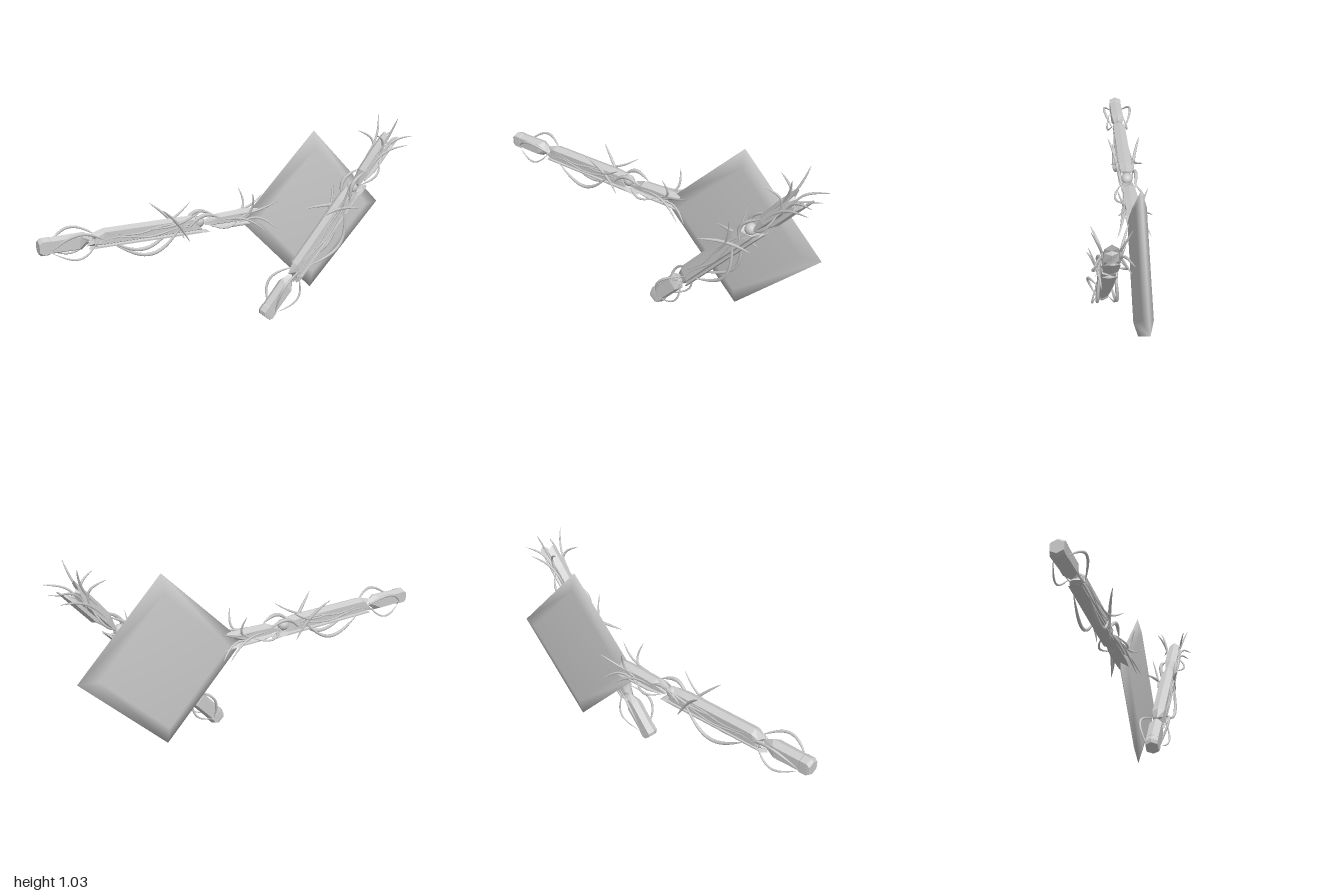
import * as THREE from 'three';

const smooth = new THREE.MeshStandardMaterial({ color: 0xcccccc });
const flat = new THREE.MeshStandardMaterial({ color: 0xcccccc, flatShading: true });

function add(parent, name, geometry, material) {
  const mesh = new THREE.Mesh(geometry, material);
  mesh.name = name;
  parent.add(mesh);
  return mesh;
}

// Hexagonal bar lofted along x. Station: [xTop, xBottom, yTop, yBottom, halfWidth, ridge lead, bevel]
function barGeometry(stations) {
  const pos = [], idx = [], n = stations.length;
  for (const [xt, xb, yt, yb, w, k = 0, e = 0.014] of stations) {
    pos.push(xt + k, yt, 0, xt, yt - e, w, xb, yb + e, w, xb + k, yb, 0, xb, yb + e, -w, xt, yt - e, -w);
  }
  for (const [xt, xb, yt, yb] of [stations[0], stations[n - 1]]) pos.push((xt + xb) / 2, (yt + yb) / 2, 0);
  for (let j = 0; j < 6; j++) {
    const m = (j + 1) % 6;
    for (let i = 0; i < n - 1; i++) {
      const a = i * 6 + j, b = i * 6 + m;
      idx.push(a, b, b + 6, a, b + 6, a + 6);
    }
    idx.push(n * 6, m, j, n * 6 + 1, (n - 1) * 6 + j, (n - 1) * 6 + m);
  }
  const g = new THREE.BufferGeometry();
  g.setAttribute('position', new THREE.Float32BufferAttribute(pos, 3));
  g.setIndex(idx);
  g.computeVertexNormals();
  return g;
}

// Tendril: a tube along pathAt(t) that swells in the middle and narrows to both tips
function tendrilGeometry(pathAt, radius) {
  const curve = new THREE.CatmullRomCurve3(Array.from({ length: 13 }, (_, i) => pathAt(i / 12)));
  const n = 28, sides = 6;
  const g = new THREE.TubeGeometry(curve, n, radius, sides);
  const p = g.attributes.position, v = new THREE.Vector3();
  for (let i = 0; i <= n; i++) {
    const c = curve.getPointAt(i / n);
    const s = 0.08 + 0.92 * Math.sin(Math.PI * i / n) ** 0.7;
    for (let j = 0; j <= sides; j++) {
      const q = i * (sides + 1) + j;
      v.fromBufferAttribute(p, q).sub(c).multiplyScalar(s).add(c);
      p.setXYZ(q, v.x, v.y, v.z);
    }
  }
  return g;
}

// Path from one point to another, bowed sideways and lifted off the staff's face
function bowedPath([x0, y0, x1, y1, bow, out], lift, side) {
  const dx = x1 - x0, dy = y1 - y0, length = Math.hypot(dx, dy);
  return (t) => {
    const b = bow * Math.sin(Math.PI * t) / length;
    return new THREE.Vector3(x0 + dx * t - dy * b, y0 + dy * t + dx * b, side * (0.034 + out * lift(t)));
  };
}

// Loops return to the staff; sprays leave it. [x0, y0, x1, y1, bow, out], radius
const arch = (t) => Math.sin(Math.PI * t);
const flare = (t) => t * t;
const tendrils = [
  ['pommelLoop', arch, [-0.95, -0.02, -0.69, 0, 0.065, 0.042], 0.007],
  ['pommelLowerLoop', arch, [-0.94, -0.03, -0.71, 0.01, -0.06, 0.025], 0.005],
  ['hangingLoop', arch, [-0.64, -0.03, -0.27, 0.02, -0.1, 0.012], 0.009],
  ['collarLeaf', arch, [-0.24, -0.01, -0.06, 0.025, 0.045, 0.01], 0.01],
  ['headLoop', arch, [-0.13, 0, 0.05, 0, -0.02, 0.04], 0.006],
  ['crossingVine', flare, [-0.23, -0.08, -0.4, 0.12, -0.015, 0.052], 0.008],
  ['collarVine', flare, [-0.46, 0.02, -0.17, 0.1, -0.035, 0.05], 0.006],
  ['headVine', flare, [0.04, 0, 0.11, 0.14, -0.05, 0.045], 0.006],
  ['headLowerVine', flare, [-0.05, 0.01, 0.2, -0.08, 0.035, 0.038], 0.006],
  ['headTip', flare, [0.03, 0.03, 0.26, 0.085, -0.02, 0.05], 0.006],
  ['headCurl', flare, [0.05, -0.02, 0.25, -0.06, 0.04, 0.05], 0.006],
];

function createStaff(name) {
  const staff = new THREE.Group();
  staff.name = name;

  // Pommel with a faceted cap and a pointed front
  add(staff, 'pommelCap', barGeometry([
    [-1, -1, 0.032, -0.034, 0.031], [-0.985, -0.985, 0.045, -0.045, 0.033],
    [-0.95, -0.95, 0.045, -0.045, 0.033], [-0.94, -0.94, 0.04, -0.04, 0.031]]), flat);
  add(staff, 'pommel', barGeometry([
    [-0.945, -0.945, 0.043, -0.04, 0.032], [-0.8, -0.81, 0.045, -0.042, 0.033, 0.02],
    [-0.75, -0.77, 0.018, -0.012, 0.022, 0.02]]), flat);

  // Long shaft with slanted ends, and the rail beneath it
  add(staff, 'shaft', barGeometry([
    [-0.715, -0.735, 0.03, -0.03, 0.026, -0.03], [-0.68, -0.7, 0.05, -0.036, 0.033],
    [-0.26, -0.2, 0.05, -0.036, 0.033], [-0.2, -0.165, 0.046, -0.034, 0.03, 0.025]]), flat);
  add(staff, 'lowerRail', barGeometry([
    [-0.71, -0.735, -0.025, -0.048, 0.03, -0.02, 0.008],
    [-0.18, -0.15, -0.025, -0.05, 0.033, 0, 0.008], [-0.14, -0.11, -0.034, -0.052, 0.03, 0.01, 0.007]]), flat);

  // Orb in the gap between shaft and head
  add(staff, 'orb', new THREE.SphereGeometry(0.03, 20, 14), smooth).position.set(-0.165, 0.01, 0);

  // Head splitting into an upper and a lower prong
  add(staff, 'upperProng', barGeometry([
    [-0.13, -0.14, 0.014, -0.014, 0.025, 0.03, 0.008], [-0.06, -0.06, 0.04, -0.02, 0.033],
    [0.06, 0.08, 0.045, -0.02, 0.033], [0.17, 0.13, 0.045, 0.006, 0.03, 0.02]]), flat);
  add(staff, 'lowerProng', barGeometry([
    [-0.1, -0.07, -0.012, -0.034, 0.026, 0.03, 0.008], [-0.03, -0.02, -0.012, -0.047, 0.033],
    [0.12, 0.13, -0.012, -0.047, 0.033], [0.15, 0.2, -0.028, -0.046, 0.027, 0.02, 0.007]]), flat);

  // Tendrils and wavy shaft vines, mirrored on both faces
  for (const side of [1, -1]) {
    const face = side > 0 ? 'Front' : 'Back';
    for (const [part, lift, path, radius] of tendrils) {
      add(staff, part + face, tendrilGeometry(bowedPath(path, lift, side), radius), smooth);
    }
    for (const row of [0, 1]) {
      const wave = (t) => new THREE.Vector3(
        -0.71 + 0.04 * row + 0.5 * t, -0.008 + 0.024 * row + 0.011 * Math.sin(9 * t + 2 * row), side * 0.033);
      add(staff, `shaftVine${row + 1}${face}`, tendrilGeometry(wave, 0.005), smooth);
    }
  }
  return staff;
}

export function createModel() {
  const model = new THREE.Group();
  model.name = 'twinStaffs';

  // Level staff that carries the blade
  const level = createStaff('levelStaff');
  level.position.set(0, 0.545, -0.08);
  model.add(level);

  // Raised staff, turned about its pommel end
  const pivot = new THREE.Group();
  pivot.name = 'raisedStaff';
  pivot.position.set(0.137, 0.031, 0.08);
  pivot.rotation.z = THREE.MathUtils.degToRad(49);
  const raised = createStaff('raisedStaffBody');
  raised.position.x = 1;
  pivot.add(raised);
  model.add(pivot);

  // Square blade plate with bevelled edges, standing on one corner
  const profile = [[0, -0.025], [0.35, -0.025], [0.445, 0], [0.35, 0.025], [0, 0.025]];
  const blade = new THREE.LatheGeometry(profile.map(([r, y]) => new THREE.Vector2(r, y)), 4);
  blade.rotateX(Math.PI / 2);
  add(model, 'blade', blade, smooth).position.set(0.527, 0.523, -0.076);

  return model;
}
